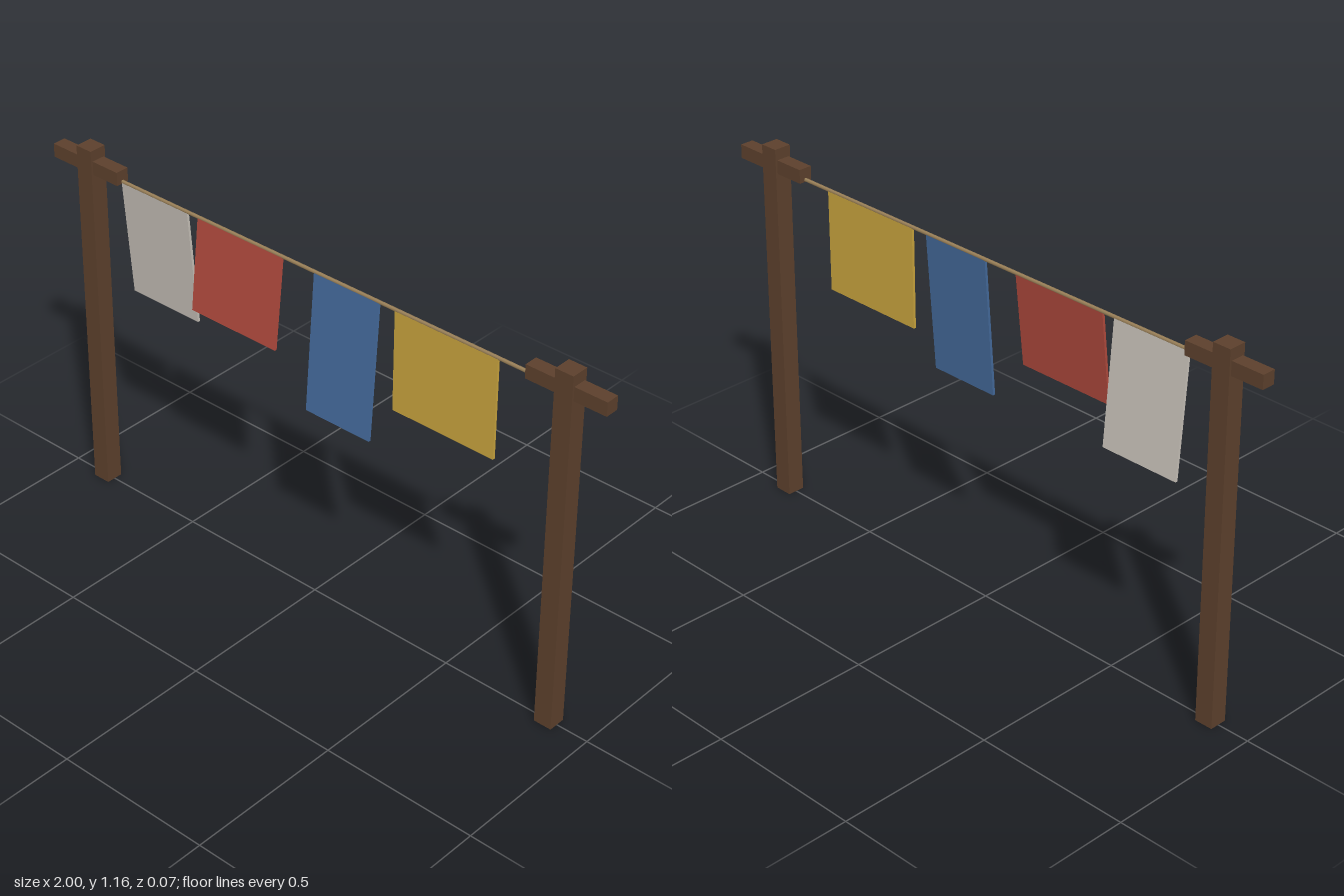
import * as THREE from 'three';

const paint = (name, color) => {
  const m = new THREE.MeshStandardMaterial({ color });
  m.name = name;
  return m;
};

export function createModel() {
  const group = new THREE.Group();
  const wood = paint('dark wood', 0x5c402c);
  const ropeTan = paint('rope tan', 0x9a8058);

  const add = (name, geometry, material, x, y, z) => {
    const mesh = new THREE.Mesh(geometry, material);
    mesh.name = name;
    mesh.position.set(x, y, z);
    group.add(mesh);
    return mesh;
  };

  // Posts with short crossbars
  for (const [side, s] of [['left', 1], ['right', -1]]) {
    add(side + 'Post', new THREE.BoxGeometry(0.058, 1.16, 0.056), wood, s * 0.867, 0.58, 0);
    add(side + 'Crossbar', new THREE.BoxGeometry(0.26, 0.043, 0.043), wood, s * 0.87, 1.104, 0);
  }

  // Line stretched between the crossbars
  const rope = add('rope', new THREE.CylinderGeometry(0.0055, 0.0055, 1.74, 6), ropeTan, 0, 1.089, 0);
  rope.rotation.z = Math.PI / 2;

  // Hanging cloths: name, colour, left x, right x, bottom y, swing angle
  const cloths = [
    ['whiteCloth', 0xc6c0b7, -0.74, -0.48, 0.712, 0.085],
    ['redCloth', 0xb04a3d, -0.438, -0.118, 0.80, -0.11],
    ['blueCloth', 0x446a9b, 0, 0.232, 0.656, -0.077],
    ['yellowCloth', 0xc8a33d, 0.288, 0.638, 0.772, -0.006],
  ];
  for (const [name, color, x0, x1, bottom, swing] of cloths) {
    const length = (1.09 - bottom) / Math.cos(swing);
    const geometry = new THREE.BoxGeometry(x1 - x0, length, 0.008);
    geometry.translate(0, -length / 2, 0);
    const cloth = add(name, geometry, paint(name + ' fabric', color), (x0 + x1) / 2, 1.09, 0);
    cloth.rotation.x = swing;
  }

  return group;
}
